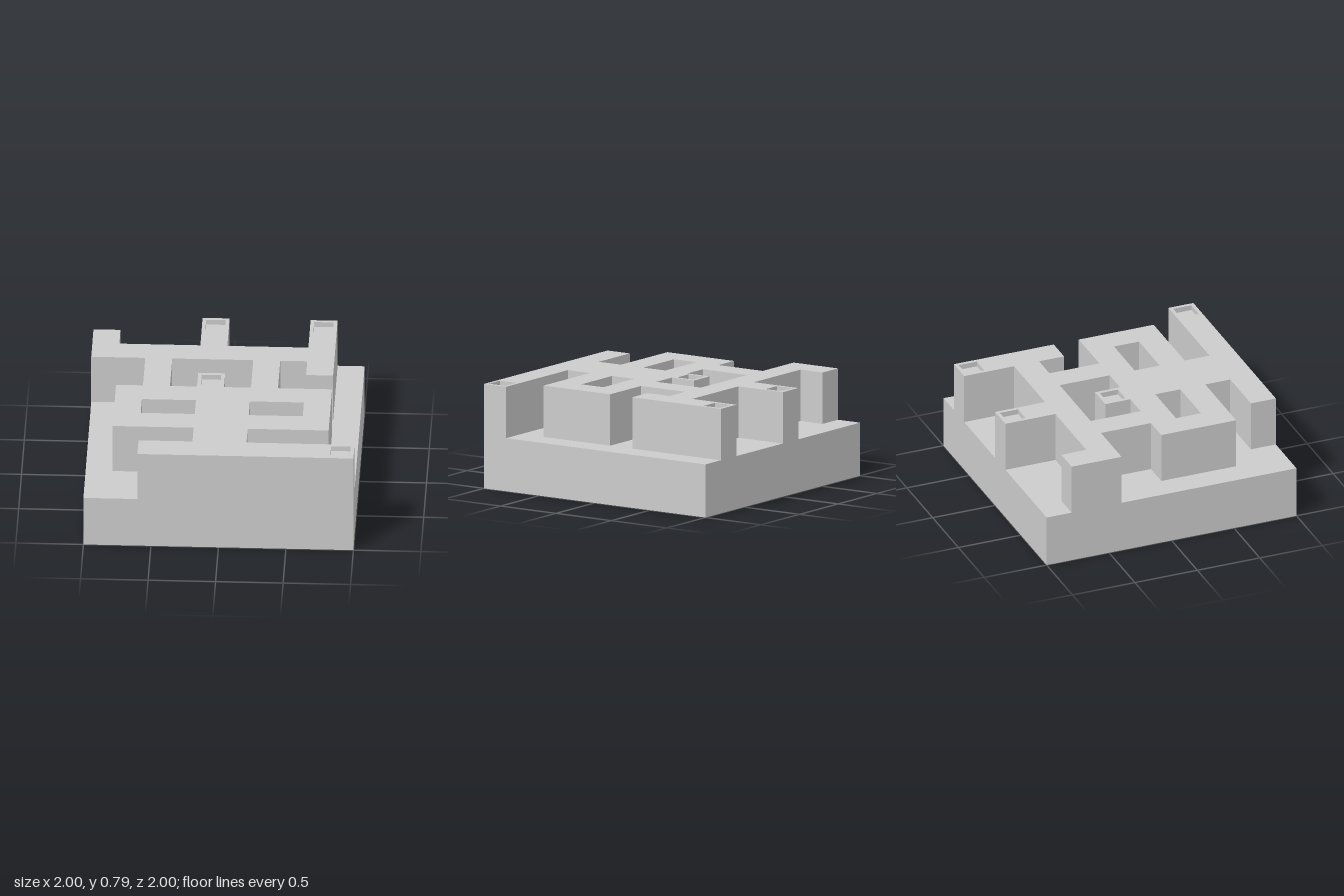
import * as THREE from 'three';

const CELL = 0.2, FLOOR = 0.4, TOP = 0.787;
const SOCKET = 0.145, SOCKET_DEPTH = 0.04;

// Plan, back row first: # raised, o raised with a square socket, . sunken
const PLAN = [
  '....o...o.',
  '#...#...#.',
  '#########.',
  '..#...#.#.',
  '..#.o.#...',
  '.########.',
  '.#..##..#.',
  '.########.',
  '....##....',
  '..#######o',
];

const material = new THREE.MeshStandardMaterial({
  color: 0xcccccc, flatShading: true, side: THREE.DoubleSide,
});

// Collects quads for one part
class Quads {
  constructor() { this.points = []; }
  add(a, b, c, d) { this.points.push(...a, ...b, ...c, ...a, ...c, ...d); }
  // Upright wall, facing the right-hand side of the way from a to b
  wall([ax, az], [bx, bz], y0, y1) {
    this.add([ax, y0, az], [bx, y0, bz], [bx, y1, bz], [ax, y1, az]);
  }
  // Level rectangle facing up
  level(x0, x1, z0, z1, y) {
    this.add([x0, y, z1], [x1, y, z1], [x1, y, z0], [x0, y, z0]);
  }
  mesh(name) {
    const geometry = new THREE.BufferGeometry();
    geometry.setAttribute('position', new THREE.Float32BufferAttribute(this.points, 3));
    geometry.computeVertexNormals();
    const mesh = new THREE.Mesh(geometry, material);
    mesh.name = name;
    return mesh;
  }
}

const at = (i) => -1 + i * CELL;
const cellAt = (row, col) => PLAN[row]?.[col] ?? '.';

// Corners of a rectangle, in order front-left, front-right, back-right, back-left
const corners = (x0, x1, z0, z1) => [[x0, z1], [x1, z1], [x1, z0], [x0, z0]];

// Raised cell top with a shallow square recess
function createSocket(x, z) {
  const q = new Quads();
  const h = CELL / 2, s = SOCKET / 2, bottom = TOP - SOCKET_DEPTH;
  const outer = corners(x - h, x + h, z - h, z + h);
  const inner = corners(x - s, x + s, z - s, z + s);
  for (let i = 0; i < 4; i++) {
    const j = (i + 1) % 4;
    const rim = [outer[i], outer[j], inner[j], inner[i]].map(([px, pz]) => [px, TOP, pz]);
    q.add(...rim);
    q.wall(inner[j], inner[i], bottom, TOP);
  }
  q.level(x - s, x + s, z - s, z + s, bottom);
  return q.mesh('socket');
}

export function createModel() {
  const group = new THREE.Group();
  group.name = 'mazeBlock';
  const base = new Quads(), floor = new Quads(), tops = new Quads(), walls = new Quads();
  const sockets = new THREE.Group();
  sockets.name = 'sockets';

  // Outer skirt, open underneath
  const plan = corners(-1, 1, -1, 1);
  plan.forEach((p, i) => base.wall(p, plan[(i + 1) % 4], 0, FLOOR));

  // Neighbours in the same order as the sides of a cell: front, right, back, left
  const neighbours = [[1, 0], [0, 1], [-1, 0], [0, -1]];
  for (let row = 0; row < PLAN.length; row++) {
    for (let col = 0; col < PLAN.length; col++) {
      const cell = cellAt(row, col);
      const bounds = [at(col), at(col + 1), at(row), at(row + 1)];

      // Level surfaces
      if (cell === '.') {
        floor.level(...bounds, FLOOR);
        continue;
      }
      if (cell === 'o') sockets.add(createSocket(at(col + 0.5), at(row + 0.5)));
      else tops.level(...bounds, TOP);

      // Walls wherever a raised cell meets a sunken one or the edge
      const side = corners(...bounds);
      neighbours.forEach(([dr, dc], i) => {
        if (cellAt(row + dr, col + dc) === '.') walls.wall(side[i], side[(i + 1) % 4], FLOOR, TOP);
      });
    }
  }

  group.add(base.mesh('baseSkirt'), floor.mesh('sunkenFloor'),
    tops.mesh('raisedTop'), walls.mesh('raisedWalls'), sockets);
  return group;
}
